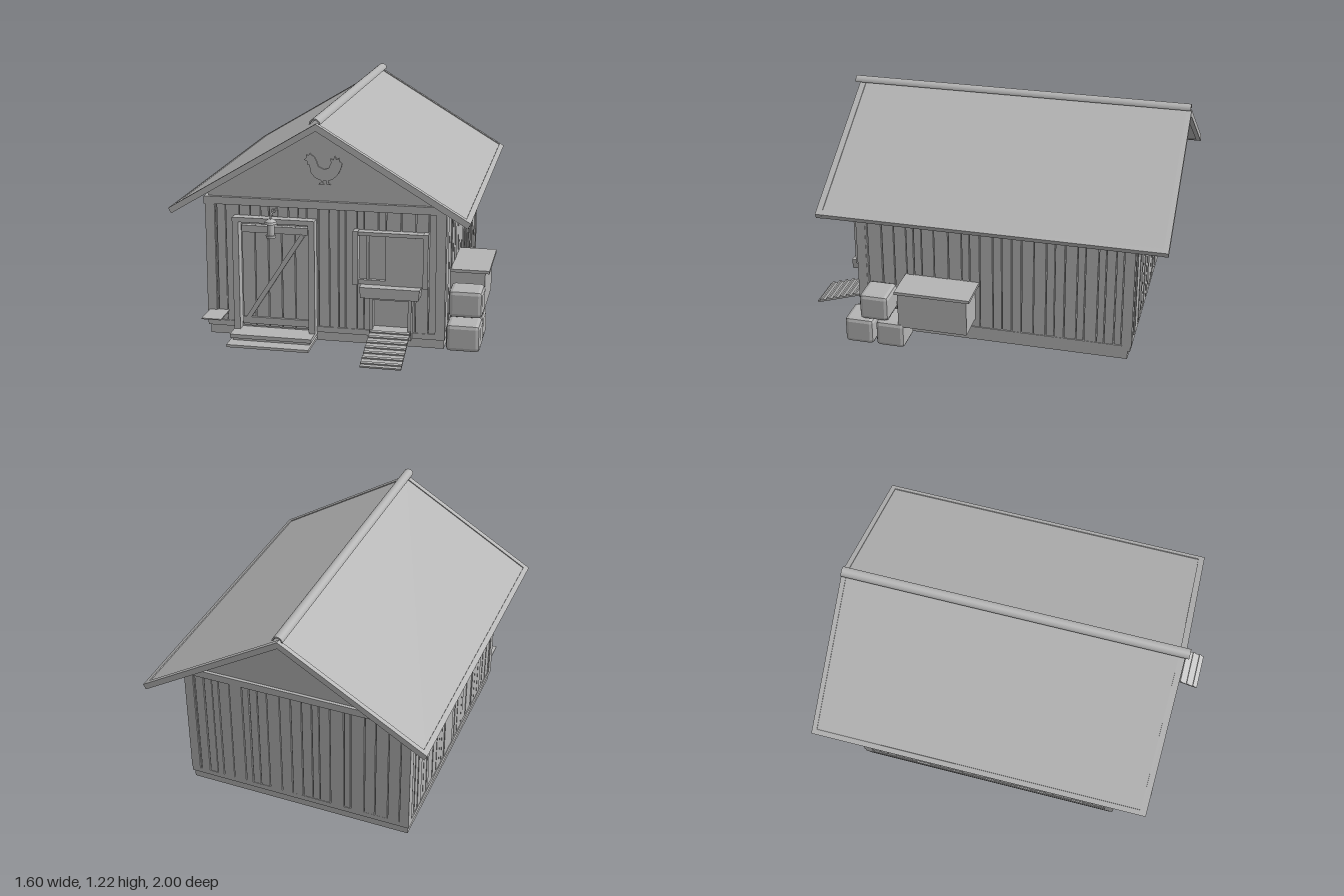
import * as THREE from 'three';
import { RoundedBoxGeometry } from 'three/addons/geometries/RoundedBoxGeometry.js';

const grey = new THREE.MeshStandardMaterial({ color: 0xb4b4b4 });
grey.name = 'plainGrey';

const CX = -0.03; // centre line of the house

function mesh(parent, name, geometry) {
  const m = new THREE.Mesh(geometry, grey);
  m.name = name;
  parent.add(m);
  return m;
}

// Box given by its limits on each axis
function box(parent, name, x0, x1, y0, y1, z0, z1) {
  const m = mesh(parent, name, new THREE.BoxGeometry(x1 - x0, y1 - y0, z1 - z0));
  m.position.set((x0 + x1) / 2, (y0 + y1) / 2, (z0 + z1) / 2);
  return m;
}

// Polygon in x,y extruded from z0 to z1
function prism(parent, name, points, z0, z1) {
  const shape = new THREE.Shape(points.map(([x, y]) => new THREE.Vector2(x, y)));
  const m = mesh(parent, name, new THREE.ExtrudeGeometry(shape, { depth: z1 - z0, bevelEnabled: false }));
  m.position.z = z0;
  return m;
}

function group(parent, name) {
  const g = new THREE.Group();
  g.name = name;
  parent.add(g);
  return g;
}

function seeded(seed) {
  return () => (seed = (seed * 16807) % 2147483647) / 2147483647;
}

// Row of uneven planks along local x, facing local +z
function plankWall(parent, name, length, x, z, angle, seed) {
  const g = group(parent, name);
  const rand = seeded(seed);
  g.position.set(x, 0, z);
  g.rotation.y = angle;
  let u = -length / 2;
  while (u < length / 2 - 0.01) {
    const end = Math.min(u + 0.035 + rand() * 0.045, length / 2);
    box(g, 'plank', u, end - 0.005, 0.08, 0.715, -0.01, 0.004 + rand() * 0.006);
    u = end;
  }
}

function buildBody(root) {
  const g = group(root, 'house');
  box(g, 'foundation', -0.65, 0.595, 0, 0.048, -0.8, 0.66);
  box(g, 'sill', -0.66, 0.6, 0.05, 0.08, -0.815, 0.675);
  box(g, 'wallCore', -0.645, 0.585, 0.04, 0.72, -0.805, 0.66);
  plankWall(g, 'frontWall', 1.21, CX, 0.663, 0, 11);
  plankWall(g, 'backWall', 1.21, CX, -0.808, Math.PI, 23);
  plankWall(g, 'leftWall', 1.44, 0.588, -0.072, Math.PI / 2, 37);
  plankWall(g, 'rightWall', 1.44, -0.648, -0.072, -Math.PI / 2, 53);
  for (const [x0, x1] of [[-0.66, -0.61], [0.55, 0.6]])
    for (const [z0, z1] of [[-0.82, -0.77], [0.627, 0.677]])
      box(g, 'cornerPost', x0, x1, 0.08, 0.715, z0, z1);
  box(g, 'topBand', -0.665, 0.602, 0.715, 0.755, -0.822, 0.682);
  prism(g, 'gable', [[-0.645, 0.75], [0.585, 0.75], [0.585, 0.783], [CX, 1.15], [-0.645, 0.783]], -0.805, 0.662);
}

function buildRoof(root) {
  const g = group(root, 'roof');
  const slope = 0.6;
  const chevron = (half, top, thick) => [
    [CX - half, top - slope * half], [CX - half + 0.014, top - thick - slope * (half - 0.014)],
    [CX, top - thick], [CX + half - 0.014, top - thick - slope * (half - 0.014)],
    [CX + half, top - slope * half], [CX, top],
  ];
  prism(g, 'roofPanels', chevron(0.76, 1.182, 0.026), -0.985, 0.83);
  for (const [z0, z1] of [[-0.998, -0.972], [0.812, 0.845]])
    prism(g, 'bargeBoard', chevron(0.77, 1.188, 0.036), z0, z1);
  for (const s of [-1, 1])
    prism(g, 'eaveBoard', [[CX + s * 0.77, 0.726], [CX + s * 0.745, 0.741], [CX + s * 0.73, 0.714], [CX + s * 0.755, 0.699]],
      -0.99, 0.84);
  // Half-pipe ridge cap
  const arc = new THREE.Shape();
  arc.absarc(0, 0, 0.028, 0, Math.PI, false);
  arc.absarc(0, 0, 0.021, Math.PI, 0, true);
  const cap = mesh(g, 'ridgeCap', new THREE.ExtrudeGeometry(arc, { depth: 1.86, bevelEnabled: false, curveSegments: 12 }));
  cap.position.set(CX, 1.19, -0.995);
}

function buildDoor(root) {
  const g = group(root, 'door');
  for (const x of [-0.503, -0.102]) box(g, 'doorPost', x, x + 0.033, 0.05, 0.66, 0.66, 0.725);
  box(g, 'doorHeader', -0.47, -0.102, 0.635, 0.66, 0.66, 0.72);
  for (let i = 0; i < 5; i++)
    box(g, 'doorPlank', -0.46 + i * 0.071, -0.394 + i * 0.071, 0.065, 0.615, 0.66, 0.688);
  for (const y of [0.08, 0.578]) box(g, 'doorRail', -0.46, -0.11, y, y + 0.037, 0.68, 0.7);
  const dx = 0.3, dy = 0.47;
  const brace = mesh(g, 'doorBrace', new THREE.BoxGeometry(Math.hypot(dx, dy), 0.024, 0.02));
  brace.position.set(-0.285, 0.343, 0.695);
  brace.rotation.z = Math.atan2(dy, dx);
  // Two shallow steps
  const s = group(root, 'doorSteps');
  box(s, 'stepBase', -0.49, -0.08, 0, 0.04, 0.65, 0.8);
  box(s, 'upperStep', -0.503, -0.07, 0.035, 0.055, 0.65, 0.81);
  box(s, 'lowerStep', -0.503, -0.07, 0.008, 0.022, 0.65, 0.875);
}

function buildLamp(root) {
  const g = group(root, 'lamp');
  const profile = [[0, 0.575], [0.026, 0.575], [0.026, 0.588], [0.019, 0.588], [0.019, 0.645], [0.034, 0.648], [0.03, 0.66], [0.012, 0.672], [0, 0.672]];
  const flat = new THREE.LatheGeometry(profile.map(([x, y]) => new THREE.Vector2(x, y)), 16).toNonIndexed();
  flat.computeVertexNormals();
  mesh(g, 'lantern', flat);
  const hook = new THREE.CatmullRomCurve3([[0, 0.665, 0], [0, 0.692, 0], [0, 0.697, -0.02], [0, 0.69, -0.09]]
    .map((p) => new THREE.Vector3(...p)));
  mesh(g, 'lampArm', new THREE.TubeGeometry(hook, 12, 0.005, 6));
  box(g, 'lampPlate', -0.015, 0.015, 0.665, 0.7, -0.1, -0.08);
  g.position.set(-0.287, 0, 0.76);
}

function buildWindow(root) {
  const g = group(root, 'window');
  box(g, 'pane', 0.15, 0.5, 0.33, 0.61, 0.66, 0.68);
  for (const x of [0.13, 0.49]) box(g, 'windowPost', x, x + 0.026, 0.335, 0.62, 0.66, 0.72);
  box(g, 'topRail', 0.156, 0.49, 0.598, 0.617, 0.66, 0.715);
  box(g, 'bottomRail', 0.156, 0.49, 0.335, 0.36, 0.66, 0.7);
  box(g, 'mullion', 0.195, 0.21, 0.36, 0.6, 0.67, 0.692);
  box(g, 'shutter', 0.296, 0.49, 0.336, 0.595, 0.67, 0.705);
  prism(g, 'planterBox', [[0.176, 0.28], [0.474, 0.28], [0.48, 0.336], [0.17, 0.336]], 0.66, 0.755);
}

function buildHatch(root) {
  const g = group(root, 'henHatch');
  box(g, 'hatchPanel', 0.235, 0.415, 0.08, 0.28, 0.66, 0.682);
  for (const x of [0.215, 0.415]) box(g, 'hatchPost', x, x + 0.018, 0.05, 0.28, 0.66, 0.715);
  box(g, 'hatchHeader', 0.233, 0.415, 0.255, 0.28, 0.66, 0.7);
  // Sloping ramp with cleats, local x runs down the slope
  const ramp = group(root, 'ramp');
  const length = Math.hypot(0.32, 0.1);
  ramp.position.set(0.325, 0.056, 0.837);
  ramp.rotation.x = Math.atan2(0.1, 0.32);
  box(ramp, 'rampBoard', -0.104, 0.104, -0.005, 0.005, -length / 2, length / 2);
  for (let i = 0; i < 7; i++) {
    const z = 0.145 - i * 0.042;
    box(ramp, 'cleat', -0.104, 0.104, 0.005, 0.013, z - 0.007, z + 0.007);
  }
}

function buildSide(root) {
  const nest = group(root, 'nestBox');
  box(nest, 'nestBody', 0.58, 0.775, 0.13, 0.336, 0.025, 0.4);
  box(nest, 'nestLid', 0.58, 0.798, 0.336, 0.352, 0.003, 0.41);
  // Stacked chamfered bales
  for (const [y, z] of [[0.075, 0.62], [0.075, 0.447], [0.227, 0.532]]) {
    const geometry = new RoundedBoxGeometry(0.176, 0.146, 0.16, 1, 0.022);
    geometry.computeVertexNormals();
    mesh(root, 'bale', geometry).position.set(0.696, y, z);
  }
  box(root, 'cornerShelf', -0.65, -0.545, 0.13, 0.136, 0.66, 0.82);
}

function buildHen(root) {
  const outline = [
    [-0.132, 0.967], [-0.122, 0.978], [-0.12, 0.995], [-0.108, 0.99], [-0.1, 1.003], [-0.092, 0.992],
    [-0.078, 0.985], [-0.066, 0.96], [-0.058, 0.935], [-0.03, 0.922], [-0.005, 0.928], [0.008, 0.955],
    [0.006, 0.978], [0.02, 0.972], [0.028, 0.995], [0.036, 0.975], [0.05, 0.982], [0.052, 0.966],
    [0.066, 0.955], [0.058, 0.925], [0.042, 0.895], [0.015, 0.87], [-0.006, 0.864], [-0.006, 0.852],
    [0.006, 0.843], [-0.016, 0.843], [-0.016, 0.862], [-0.034, 0.862], [-0.036, 0.852], [-0.028, 0.843],
    [-0.058, 0.843], [-0.045, 0.852], [-0.045, 0.864], [-0.075, 0.876], [-0.096, 0.9], [-0.102, 0.93],
    [-0.106, 0.945], [-0.114, 0.94], [-0.116, 0.96],
  ];
  prism(root, 'henPlaque', outline, 0.66, 0.67);
}

export function createModel() {
  const root = new THREE.Group();
  root.name = 'henHouse';
  for (const build of [buildBody, buildRoof, buildDoor, buildLamp, buildWindow, buildHatch, buildSide, buildHen]) build(root);
  return root;
}
